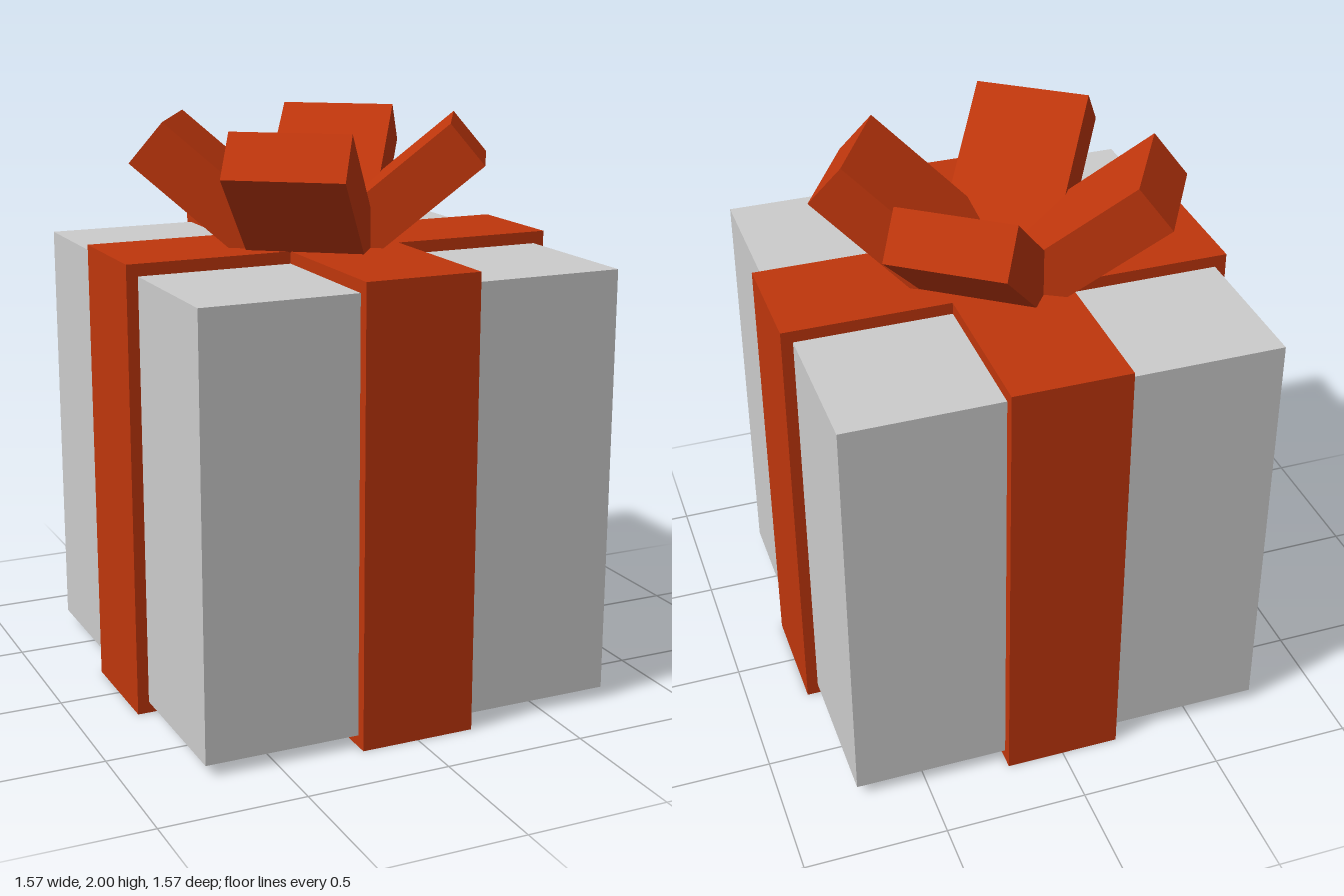
import * as THREE from 'three';

const paper = new THREE.MeshStandardMaterial({ color: 0xcccccc });
paper.name = 'greyPaper';
const red = new THREE.MeshStandardMaterial({ color: 0xbf360c });
red.name = 'redRibbon';

function addMesh(parent, name, geometry, material) {
  const mesh = new THREE.Mesh(geometry, material);
  mesh.name = name;
  parent.add(mesh);
  return mesh;
}

export function createModel() {
  const gift = new THREE.Group();
  gift.name = 'giftBox';

  // Wrapped box
  const box = addMesh(gift, 'box', new THREE.BoxGeometry(1.49, 1.495, 1.49), paper);
  box.position.y = 0.7875;

  // Crossed ribbon: a plus-shaped outline raised over the full height
  const r = 0.785, w = 0.203;
  const plus = new THREE.Shape([
    [w, -r], [w, -w], [r, -w], [r, w], [w, w], [w, r],
    [-w, r], [-w, w], [-r, w], [-r, -w], [-w, -w], [-w, -r],
  ].map(([x, y]) => new THREE.Vector2(x, y)));
  const ribbonGeometry = new THREE.ExtrudeGeometry(plus, { depth: 1.577, bevelEnabled: false });
  ribbonGeometry.rotateX(-Math.PI / 2);
  addMesh(gift, 'ribbon', ribbonGeometry, red);

  // Bow: four slanted loops, each pivoting on its lower outer edge
  const bow = new THREE.Group();
  bow.name = 'bow';
  gift.add(bow);
  const length = 0.65, thickness = 0.183;
  const loopGeometry = new THREE.BoxGeometry(length, thickness, 0.405);
  loopGeometry.translate(-length / 2, thickness / 2, 0);
  const loops = [ // outer edge x, z and heading in degrees from +x towards +z
    [0.5, 0.275, 30],
    [-0.365, 0.51, 126],
    [-0.56, -0.285, 210],
    [0.315, -0.475, 306],
  ];
  loops.forEach(([x, z, heading], i) => {
    const loop = addMesh(bow, `bowLoop${i + 1}`, loopGeometry, red);
    loop.position.set(x, 1.86, z);
    loop.rotation.set(0, -THREE.MathUtils.degToRad(heading), THREE.MathUtils.degToRad(40));
  });

  return gift;
}
